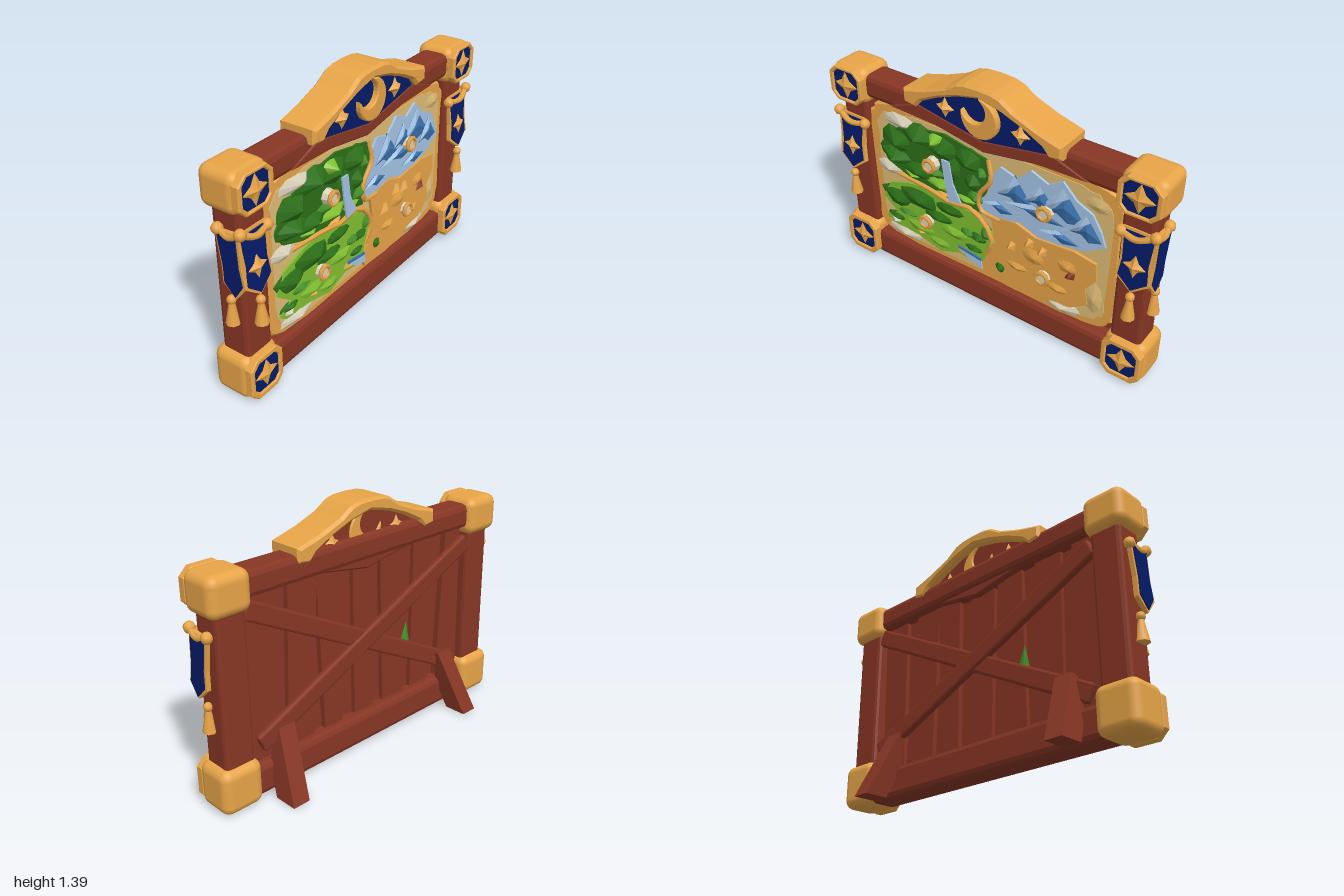
import * as THREE from 'three';
import { RoundedBoxGeometry } from 'three/addons/geometries/RoundedBoxGeometry.js';

const paint = (name, color, flat = true) => {
  const m = new THREE.MeshStandardMaterial({ color });
  m.name = name;
  m.flatShading = flat;
  return m;
};

export function createModel() {
  const root = new THREE.Group();
  root.name = 'mapBoard';
  const wood = paint('wood', 0x873624), gold = paint('gold', 0xe8a548, false), navy = paint('navy', 0x051b68),
    parchment = paint('parchment', 0xdfbc76), forest = paint('forestGreen', 0x2c7018), leafGreen = paint('leafGreen', 0x45912a),
    grass = paint('grassGreen', 0x80c030), ice = paint('iceBlue', 0xaccdf0),
    slate = paint('slateBlue', 0x3d76b2), cream = paint('cream', 0xdcd4bc);

  let seed = 7;
  const rnd = () => (seed = (seed * 16807) % 2147483647) / 2147483647;
  const vec = pts => pts.map(p => new THREE.Vector2(p[0], p[1]));
  const add = (name, geo, mat, x = 0, y = 0, z = 0, parent = root) => {
    const m = new THREE.Mesh(geo, mat);
    m.name = name;
    m.position.set(x, y, z);
    parent.add(m);
    return m;
  };
  // flat plate cut from an outline, from z0 to z1
  const slab = (name, pts, z0, z1, mat, parent = root, bevel = 0) => add(name,
    new THREE.ExtrudeGeometry(new THREE.Shape(vec(pts)), { depth: z1 - z0 - 2 * bevel, bevelEnabled: bevel > 0,
      bevelThickness: bevel, bevelSize: bevel, bevelOffset: -bevel, bevelSegments: 1 }), mat, 0, 0, z0 + bevel, parent);
  // faceted pyramid rising from an outline to one apex
  const fan = (name, pts, apex, z0, mat, parent = root) => {
    const o = vec(pts), pos = [];
    if (THREE.ShapeUtils.isClockWise(o)) o.reverse();
    o.forEach((a, i) => {
      const b = o[(i + 1) % o.length];
      pos.push(a.x, a.y, z0, b.x, b.y, z0, ...apex);
    });
    const g = new THREE.BufferGeometry();
    g.setAttribute('position', new THREE.Float32BufferAttribute(pos, 3));
    g.computeVertexNormals();
    return add(name, g, mat, 0, 0, 0, parent);
  };
  const star = (r, h, parent, x, y, z, name = 'star') => {
    const pts = Array.from({ length: 8 }, (_, i) => {
      const q = i % 2 ? r * 0.5 : r, a = i * Math.PI / 4;
      return [q * Math.cos(a), q * Math.sin(a)];
    });
    const m = fan(name, pts, [0, 0, h], 0, gold, parent);
    m.position.set(x, y, z);
    return m;
  };
  const block = (name, x0, x1, y0, y1, z0, z1, mat, r = 0.02) => add(name,
    new RoundedBoxGeometry(x1 - x0, y1 - y0, z1 - z0, 1, r), mat, (x0 + x1) / 2, (y0 + y1) / 2, (z0 + z1) / 2);
  // timber between two points
  const timber = (name, a, b, w, d) => {
    const A = new THREE.Vector3(...a), B = new THREE.Vector3(...b);
    const m = add(name, new RoundedBoxGeometry(w, A.distanceTo(B), d, 1, 0.012), wood);
    m.position.copy(A).lerp(B, 0.5);
    m.quaternion.setFromUnitVectors(new THREE.Vector3(0, 1, 0), B.clone().sub(A).normalize());
  };
  const octagon = (w, h, c) => [[-w + c, -h], [w - c, -h], [w, -h + c], [w, h - c], [w - c, h], [-w + c, h], [-w, h - c], [-w, -h + c]];

  // frame
  block('bottomBeam', -0.8, 0.8, 0.012, 0.185, -0.03, 0.14, wood, 0.03);
  block('topBeam', -0.8, 0.8, 1.065, 1.2, -0.03, 0.13, wood, 0.03);
  const legSide = new THREE.Shape(vec([[-0.207, 0], [-0.075, 0], [-0.005, 0.155], [-0.005, 0.35], [-0.043, 0.36]]));
  for (const s of [-1, 1]) {
    block('sideBeam', s * 0.865 - 0.085, s * 0.865 + 0.085, 0.1, 1.12, -0.03, 0.13, wood);
    // leg splaying outward towards the ground
    const leg = new THREE.ExtrudeGeometry(legSide, { depth: 0.1, bevelEnabled: false }).rotateY(-Math.PI / 2);
    leg.applyMatrix4(new THREE.Matrix4().set(1, -s * 0.16, 0, s * 0.65 + 0.05, 0, 1, 0, 0, 0, 0, 1, 0, 0, 0, 0, 1));
    add('rearLeg', leg, wood);
    // corner caps with framed star badges
    for (const [y0, y1] of [[0.005, 0.25], [1.022, 1.23]]) {
      const g = new THREE.Group(), h = (y1 - y0) / 2;
      g.name = 'corner';
      g.position.set(s * 0.875, y0 + h, 0);
      root.add(g);
      add('cornerCap', new RoundedBoxGeometry(0.235, 2 * h, 0.22, 3, 0.05), gold, 0, 0, 0.045, g);
      const ring = new THREE.Shape(vec(octagon(0.112, h - 0.002, 0.045)));
      ring.holes.push(new THREE.Path(vec(octagon(0.084, h > 0.11 ? 0.088 : 0.082, 0.03))));
      add('badgeRim', new THREE.ExtrudeGeometry(ring, { depth: 0.035, bevelEnabled: true, bevelThickness: 0.006,
        bevelSize: 0.006, bevelOffset: -0.006, bevelSegments: 1 }), gold, 0, 0, 0.137, g);
      slab('badgeField', octagon(0.094, 0.092, 0.028), 0.16, 0.168, navy, g);
      star(0.08, 0.02, g, 0, 0, 0.169);
    }
  }

  // uneven back planks and crossed braces
  slab('backBoard', [[-0.8, 0.15], [0.8, 0.15], [0.8, 1.1], [-0.8, 1.1]], 0.05, 0.06, wood);
  for (let i = 0; i < 7; i++) {
    const x = -0.68 + i * 0.225, t = 0.06 + rnd() * 0.035, b = 0.06 + rnd() * 0.035, lean = (rnd() - 0.5) * 0.1;
    slab('plank', [[x - b, 0.16], [x + b, 0.16], [x + t + lean, 1.1], [x - t + lean, 1.1]], 0.012 + rnd() * 0.02, 0.052, wood);
  }
  timber('brace', [0.78, 1.02, 0.0], [-0.72, 0.24, 0.0], 0.1, 0.04);
  timber('brace', [0.74, 0.3, -0.018], [-0.78, 0.98, -0.01], 0.1, 0.04);
  const leaf = fan('rearLeaf', [[-0.26, 0.44], [-0.36, 0.47], [-0.3, 0.62]], [-0.305, 0.5, 0.012], 0, leafGreen);
  leaf.rotation.y = Math.PI;
  leaf.position.set(-0.62, 0, 0.011);

  // crest: arch, blue field, wooden chevron, moon and stars on both faces
  const half = [[0, 1.387], [0.08, 1.383], [0.13, 1.37], [0.17, 1.345], [0.2, 1.325], [0.33, 1.275], [0.475, 1.235], [0.475, 1.16], [0.4, 1.15],
    [0.36, 1.195], [0.25, 1.25], [0.13, 1.295], [0, 1.325]];
  const mirror = pts => pts.map(([x, y]) => [-x, y]).reverse();
  slab('crestArch', [...half, ...mirror(half).slice(1, -1)], -0.04, 0.17, gold, root, 0.015);
  const field = [[0, 1.08], [0.42, 1.155], [0.36, 1.21], [0.25, 1.265], [0.13, 1.31], [0, 1.34], [-0.13, 1.31], [-0.25, 1.265], [-0.36, 1.21], [-0.42, 1.155]];
  slab('crestBack', field, 0.01, 0.125, wood);
  slab('crestField', field, 0.127, 0.134, navy);
  slab('chevron', [[0, 1.015], [0.3, 1.065], [0.6, 1.08], [0.4, 1.155], [0, 1.083], [-0.4, 1.155], [-0.6, 1.08], [-0.3, 1.065]], -0.01, 0.138, wood, root, 0.008);
  const moon = [], deg = Math.PI / 180;
  for (let i = 0; i <= 20; i++) {
    const a = (130 + 39 + i * 14.1) * deg;
    moon.push([0.11 * Math.cos(a), 1.215 + 0.11 * Math.sin(a)]);
  }
  for (let i = 1; i < 16; i++) {
    const a = (130 + 298 - i * 14.75) * deg;
    moon.push([-0.032 + 0.07 * Math.cos(a), 1.252 + 0.07 * Math.sin(a)]);
  }
  slab('moon', moon, 0.0, 0.165, gold, root, 0.006);
  for (const x of [-0.225, 0.225]) {
    star(0.058, 0.03, root, x, 1.195, 0.135, 'crestStar');
    star(0.055, 0.02, root, x, 1.195, 0.009, 'crestStarBack').rotation.y = Math.PI;
  }

  // hanging banners on the front and outer face of each side beam
  const rope = (pts, r = 0.017) => new THREE.TubeGeometry(new THREE.CatmullRomCurve3(pts.map(p => new THREE.Vector3(...p))), 12, r, 6);
  const pennant = (w, k) => [[-w + k, 0.34 - k], [-w * 0.88 + k, 0.17], [-w + k, 0.07 + k * 0.6], [0, k], [w - k, 0.07 + k * 0.6], [w * 0.88 - k, 0.17], [w - k, 0.34 - k]];
  for (const s of [-1, 1]) {
    const hang = (name, w, x, z, turn, lean, roll) => {
      const g = new THREE.Group();
      g.name = name;
      g.position.set(x, 0.595, z);
      g.rotation.set(lean, turn, roll, 'YXZ');
      root.add(g);
      slab('bannerTrim', pennant(w, 0), -0.012, 0.012, gold, g);
      slab('bannerCloth', pennant(w, 0.013), 0.012, 0.018, navy, g);
      return g;
    };
    star(0.062, 0.022, hang('frontBanner', 0.09, s * 0.885, 0.162, 0, -0.1, 0), 0, 0.15, 0.018, 'bannerStar');
    hang('sideBanner', 0.066, s * 0.966, 0.112, s * Math.PI / 2, 0, -s * 0.1);
    add('frontRope', rope([[s * 0.79, 0.905, 0.145], [s * 0.88, 0.9, 0.165], [s * 0.97, 0.94, 0.15]]), gold);
    add('sideRope', rope([[s * 0.97, 0.94, 0.15], [s * 0.978, 0.915, 0.09], [s * 0.965, 0.93, 0.02]]), gold);
    for (const p of [[0.79, 0.905, 0.145], [0.968, 0.942, 0.152], [0.968, 0.93, 0.02]])
      add('ropeKnob', new THREE.SphereGeometry(0.03, 8, 6), gold, s * p[0], p[1], p[2]);
    for (const [x, z] of [[0.885, 0.17], [0.963, 0.065]]) {
      add('tasselBead', new THREE.SphereGeometry(0.024, 8, 6), gold, s * x, 0.565, z);
      add('tassel', new THREE.CylinderGeometry(0.015, 0.036, 0.11, 8), gold, s * x, 0.49, z);
    }
  }

  // map sheet
  const sheet = (w, y0, y1, n) => {
    const pts = [];
    for (let i = 0; i < n; i++) {
      const a = i / n * Math.PI * 2, c = Math.cos(a), t = Math.sin(a), q = 1 - rnd() * 0.03;
      pts.push([w * q * Math.sign(c) * Math.abs(c) ** 0.25, (y0 + y1) / 2 + (y1 - y0) / 2 * q * Math.sign(t) * Math.abs(t) ** 0.25]);
    }
    return pts;
  };
  slab('mapSheet', sheet(0.8, 0.17, 1.085, 48), 0.055, 0.105, gold, root, 0.01);
  slab('mapBorder', sheet(0.745, 0.215, 1.04, 40), 0.1, 0.109, parchment);

  // four lands
  slab('forestLand', [[-0.71, 0.8], [-0.63, 0.91], [-0.52, 0.98], [-0.25, 1.02], [0.01, 0.97], [0.04, 0.88], [0.01, 0.77], [-0.03, 0.69], [-0.02, 0.62], [-0.12, 0.64], [-0.25, 0.62], [-0.52, 0.66], [-0.66, 0.71]], 0.105, 0.12, forest);
  slab('iceLand', [[0.04, 0.88], [0.1, 0.96], [0.2, 0.93], [0.28, 1.01], [0.38, 0.97], [0.46, 1.02], [0.54, 0.94], [0.63, 0.9], [0.68, 0.82], [0.71, 0.74], [0.6, 0.67], [0.46, 0.64], [0.33, 0.63], [0.22, 0.67], [0.09, 0.64], [-0.03, 0.65], [-0.03, 0.71], [0.03, 0.78]], 0.105, 0.122, ice);
  slab('meadowLand', [[-0.72, 0.45], [-0.66, 0.56], [-0.52, 0.61], [-0.39, 0.63], [-0.04, 0.59], [0.04, 0.53], [0.06, 0.45], [0, 0.35], [-0.02, 0.26], [-0.18, 0.28], [-0.31, 0.23], [-0.47, 0.27], [-0.66, 0.28], [-0.71, 0.32], [-0.62, 0.37]], 0.105, 0.12, grass);
  slab('desertLand', [[0.04, 0.64], [0.2, 0.66], [0.32, 0.62], [0.55, 0.64], [0.67, 0.62], [0.68, 0.52], [0.62, 0.44], [0.64, 0.34], [0.54, 0.27], [0.35, 0.23], [0.2, 0.21], [0.0, 0.22], [-0.03, 0.28], [0.02, 0.36], [0.07, 0.46]], 0.105, 0.125, gold);
  add('ridgePath', rope([[-0.6, 0.645, 0.11], [-0.35, 0.635, 0.125], [-0.22, 0.61, 0.125], [-0.1, 0.63, 0.125], [0, 0.57, 0.125], [0.05, 0.47, 0.125], [0, 0.35, 0.11]], 0.014), gold);
  add('ridgePath', rope([[0.02, 0.97, 0.11], [0.045, 0.86, 0.125], [-0.03, 0.74, 0.125], [-0.02, 0.65, 0.125], [0.1, 0.63, 0.12]], 0.014), gold);

  // irregular faceted hills
  const hills = (name, mat, list) => list.forEach(([x, y, rx, ry, h = 0.025]) => {
    const n = 9, pts = [];
    for (let i = 0; i < n; i++) {
      const a = i / n * Math.PI * 2, q = 0.85 + rnd() * 0.3;
      pts.push([x + rx * q * Math.cos(a), y + ry * q * Math.sin(a)]);
    }
    fan(name, pts, [x + rx * 0.15, y - ry * 0.1, 0.115 + h], 0.112, mat);
  });
  hills('forestHill', forest, [[-0.58, 0.87, 0.11, 0.08, 0.05], [-0.44, 0.95, 0.13, 0.07, 0.06], [-0.28, 0.93, 0.12, 0.08, 0.05],
    [-0.1, 0.92, 0.1, 0.07, 0.05], [-0.6, 0.77, 0.11, 0.06, 0.06], [-0.45, 0.73, 0.12, 0.06, 0.04], [-0.08, 0.8, 0.06, 0.06, 0.04], [-0.2, 0.84, 0.06, 0.1, 0.035]]);
  hills('leafHill', leafGreen, [[-0.06, 0.71, 0.07, 0.05, 0.03], [-0.33, 0.76, 0.1, 0.04, 0.03], [-0.02, 0.87, 0.04, 0.05, 0.03],
    [0, 0.5, 0.05, 0.06], [-0.12, 0.45, 0.07, 0.04], [-0.55, 0.4, 0.1, 0.03]]);
  hills('meadowWood', forest, [[-0.61, 0.48, 0.12, 0.075, 0.035], [-0.45, 0.54, 0.16, 0.08, 0.04], [-0.25, 0.55, 0.13, 0.05],
    [-0.32, 0.47, 0.12, 0.045, 0.03], [-0.63, 0.34, 0.07, 0.03], [-0.05, 0.45, 0.07, 0.04, 0.03], [-0.08, 0.36, 0.08, 0.03], [0.1, 0.32, 0.05, 0.05, 0.03]]);
  hills('grassHill', grass, [[-0.31, 0.97, 0.055, 0.045, 0.065], [-0.29, 0.7, 0.13, 0.045, 0.04], [-0.13, 0.67, 0.09, 0.03],
    [-0.48, 0.69, 0.08, 0.02, 0.035], [-0.46, 0.34, 0.14, 0.05], [-0.22, 0.41, 0.13, 0.05], [-0.33, 0.29, 0.12, 0.04, 0.02]]);
  hills('cloud', cream, [[-0.54, 0.985, 0.12, 0.045], [-0.66, 0.665, 0.09, 0.05], [-0.58, 0.25, 0.12, 0.04], [0.47, 0.245, 0.12, 0.04], [-0.64, 0.31, 0.05, 0.03]]);
  hills('sandPatch', gold, [[-0.27, 0.645, 0.08, 0.016], [-0.15, 0.31, 0.06, 0.03], [-0.45, 0.31, 0.05, 0.02]]);
  hills('dune', gold, [[0.3, 0.5, 0.13, 0.08], [0.5, 0.53, 0.1, 0.07], [0.2, 0.38, 0.12, 0.05], [0.45, 0.36, 0.12, 0.05]]);
  hills('paleBank', parchment, [[0.65, 0.96, 0.07, 0.04, 0.01], [0.66, 0.4, 0.06, 0.1, 0.015]]);

  // water
  slab('waterfall', [[-0.25, 0.89], [-0.2, 0.89], [-0.18, 0.76], [-0.13, 0.66], [-0.21, 0.64], [-0.23, 0.74]], 0.148, 0.157, ice);
  slab('river', [[-0.17, 0.33], [-0.02, 0.31], [-0.01, 0.26], [-0.09, 0.28]], 0.128, 0.136, ice);
  slab('riverBank', [[-0.17, 0.345], [-0.02, 0.325], [-0.02, 0.31], [-0.17, 0.33]], 0.128, 0.136, slate);

  // snowy peaks
  for (const [x, y, w, h] of [[0.19, 0.79, 0.12, 0.16], [0.34, 0.82, 0.1, 0.13], [0.47, 0.81, 0.14, 0.18], [0.6, 0.75, 0.1, 0.14], [0.08, 0.7, 0.11, 0.05], [0.45, 0.68, 0.13, 0.05], [0.3, 0.76, 0.2, 0.06]]) {
    fan('peak', [[x - w, y], [x - w * 0.3, y + h * 0.05], [x + w * 0.2, y - 0.03], [x + w, y], [x + w * 0.5, y + h * 0.5], [x, y + h], [x - w * 0.5, y + h * 0.55]], [x + w * 0.1, y + h * 0.4, 0.138], 0.12, slate);
    fan('snowFace', [[x - w * 0.9, y + h * 0.1], [x - w * 0.35, y + h * 0.2], [x, y + h * 0.55], [x + w * 0.25, y + h * 0.75], [x, y + h], [x - w * 0.5, y + h * 0.55]], [x - w * 0.25, y + h * 0.5, 0.144], 0.128, ice);
  }

  // desert rocks
  for (const [x, y, mat] of [[0.17, 0.5, gold], [0.53, 0.48, wood], [0.28, 0.57, gold], [0.36, 0.55, gold]])
    fan('rock', [[x - 0.035, y - 0.03], [x + 0.03, y - 0.02], [x + 0.035, y + 0.03], [x, y + 0.04]], [x, y, 0.155], 0.12, mat);

  // lookout towers
  for (const [x, y, z] of [[-0.33, 0.82, 0.165], [0.38, 0.815, 0.155], [-0.39, 0.415, 0.15], [0.38, 0.4, 0.15]]) {
    add('towerRim', new THREE.TorusGeometry(0.036, 0.012, 5, 8), gold, x, y, z);
    add('towerTop', new THREE.CylinderGeometry(0.034, 0.044, 0.05, 8), cream, x, y, z - 0.025).rotation.x = Math.PI / 2;
  }
  return root;
}
